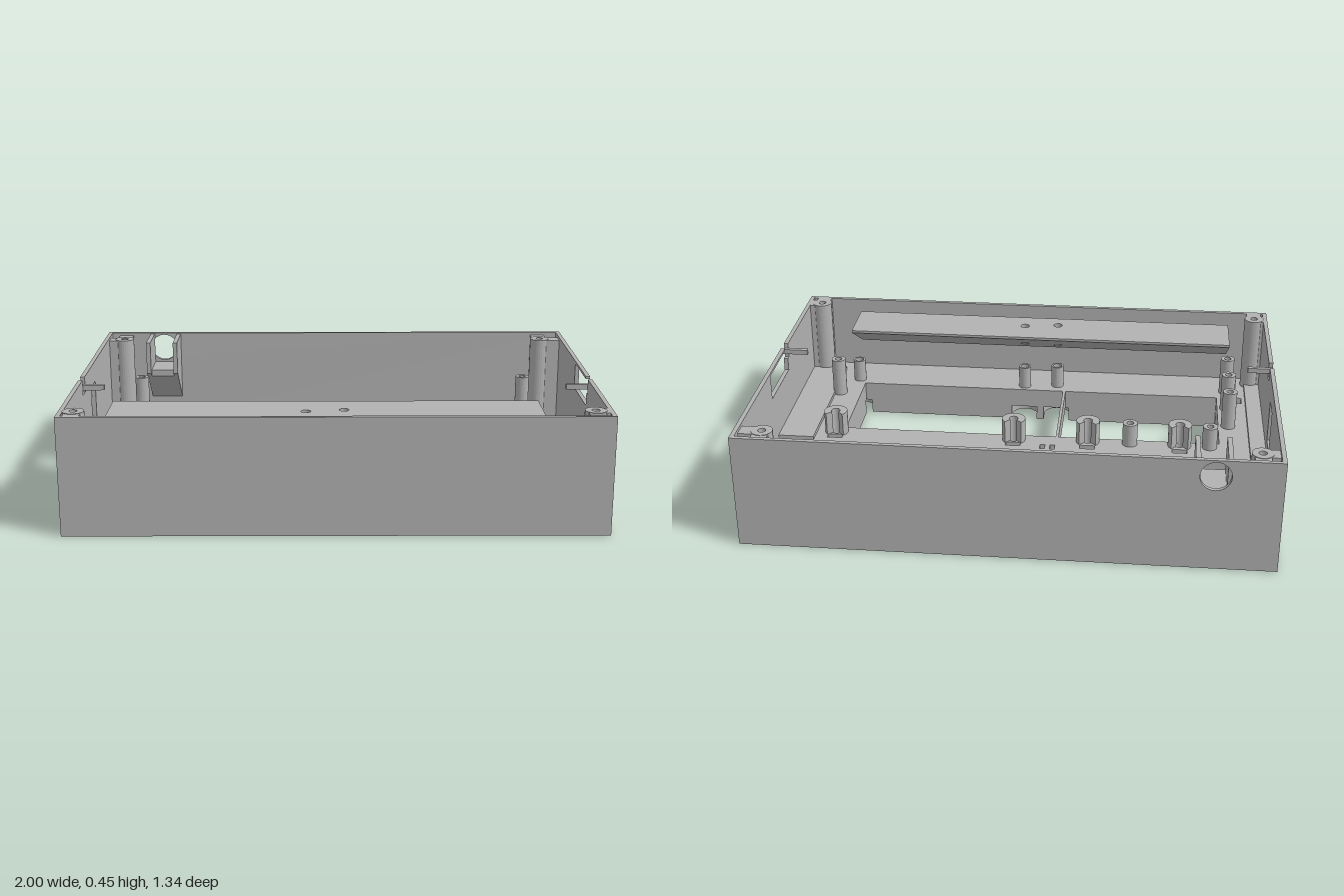
import * as THREE from 'three';

const W = 1, D = 0.67, H = 0.45, T = 0.017, FLOOR = 0.02, DECK = 0.14;

export function createModel() {
  const model = new THREE.Group();
  model.name = 'enclosure';
  const grey = new THREE.MeshStandardMaterial({ color: 0xb2b2b2 });
  grey.name = 'grey plastic';

  const add = (name, geometry) => {
    const mesh = new THREE.Mesh(geometry, grey);
    mesh.name = name;
    model.add(mesh);
    return mesh;
  };
  const box = (name, x0, x1, y0, y1, z0, z1) =>
    add(name, new THREE.BoxGeometry(x1 - x0, y1 - y0, z1 - z0)
      .translate((x0 + x1) / 2, (y0 + y1) / 2, (z0 + z1) / 2));
  const poly = (pts) => new THREE.Shape(pts.map(([a, b]) => new THREE.Vector2(a, b)));
  const rect = (a0, a1, b0, b1) => poly([[a0, b0], [a1, b0], [a1, b1], [a0, b1]]);
  const circle = (a, b, r) => new THREE.Shape().absarc(a, b, r, 0, Math.PI * 2, false);
  const extrude = (shape, depth) =>
    new THREE.ExtrudeGeometry(shape, { depth, bevelEnabled: false, curveSegments: 14 });
  // plan shape given in (x, z), filling y0 to y1
  const plan = (shape, y0, y1) => extrude(shape, y1 - y0).rotateX(Math.PI / 2).translate(0, y1, 0);
  // side shape given in (z, y), filling x0 to x1
  const side = (shape, x0, x1) => extrude(shape, x1 - x0).rotateY(-Math.PI / 2).translate(x1, 0, 0);
  // hollow round pillar
  const pillar = (name, x, z, r, y0, y1, bore = 0.014) => {
    const ring = circle(x, z, r);
    ring.holes.push(circle(x, z, bore));
    add(name, plan(ring, y0, y1));
  };

  // Outer walls
  box('frontWall', -W, W, 0, H, D - T, D);
  const back = rect(-W, W, 0, H);
  back.holes.push(circle(-0.755, 0.385, 0.057));
  add('backWall', extrude(back, T).translate(0, 0, -D));
  const zi = D - T, xi = W - T;
  const right = poly([[-zi, 0], [zi, 0], [zi, H], [0.16, H], [0.16, 0.39], [0.11, 0.39], [0.11, H], [-zi, H]]);
  right.holes.push(rect(-0.13, -0.03, 0.2, 0.37));
  add('rightWall', side(right, -W, -xi));
  const left = poly([[-zi, 0], [zi, 0], [zi, H], [0.16, H], [0.16, 0.39], [0.14, 0.39], [0.14, 0.34],
    [-0.13, 0.34], [-0.13, 0.44], [0.11, 0.44], [0.11, H], [-zi, H]]);
  add('leftWall', side(left, xi, W));
  for (const s of [-1, 1]) {
    const [a, b] = s < 0 ? [-W, -0.9] : [0.9, W];
    box('notchTab', a, b, 0.41, 0.43, 0.143, 0.16);
  }

  // Low floor at the back
  box('backFloor', -xi, xi, 0, FLOOR, -zi, -0.11);

  // Lower layer of the raised deck, its window widened by round pockets
  const R = 0.055, PI = Math.PI;
  const pocket = new THREE.Path();
  pocket.moveTo(-0.8, 0.03);
  for (const x of [-0.64, -0.27, 0.03]) {
    pocket.lineTo(x - R, 0.03);
    pocket.absarc(x, -0.01, R, PI, 2 * PI, false);
    pocket.lineTo(x + R, 0.03);
  }
  pocket.lineTo(0.76 - R, 0.03);
  pocket.absarc(0.76, 0, R, PI, 2.5 * PI, false);
  pocket.lineTo(0.73, 0.055);
  pocket.lineTo(0.73, 0.435);
  pocket.absarc(0.76, 0.49, R, -PI / 2, PI, false);
  pocket.lineTo(0.76 - R, 0.45);
  for (const [x, z] of [[0.03, 0.49], [-0.11, 0.51]]) {
    pocket.lineTo(x + R, 0.45);
    pocket.absarc(x, z, R, 0, PI, false);
    pocket.lineTo(x - R, 0.45);
  }
  pocket.lineTo(-0.8, 0.45);
  pocket.absarc(-0.85, 0.43, R, PI / 2, 1.5 * PI, false);
  pocket.lineTo(-0.8, 0.375);
  pocket.closePath();
  const lower = rect(-xi, xi, -0.11, zi);
  lower.holes.push(pocket);
  add('lowerDeck', plan(lower, 0, 0.06));

  // Upper layer with two windows, a dividing bar, screw holes and clip slots
  const clips = [[-0.64, 0.01], [-0.27, 0.01], [0.03, 0], [0.76, 0]].map(([x, z]) => [x, z - 0.005]);
  const frontScrews = [[-0.11, 0.51], [0.03, 0.49], [0.76, 0.49], [-0.85, 0.43]];
  const upper = rect(-xi, xi, -0.11, zi);
  upper.holes.push(rect(-0.8, -0.15, 0.03, 0.45), rect(-0.138, 0.73, 0.03, 0.45));
  upper.holes.push(rect(-0.905, -0.88, 0.405, 0.455), rect(0.76, 0.785, 0.52, 0.545));
  for (const x of [-0.13, -0.09]) upper.holes.push(rect(x - 0.01, x + 0.01, -0.075, -0.04));
  for (const [x, z] of clips) upper.holes.push(circle(x, z, 0.018), rect(x - 0.03, x + 0.03, -0.06, -0.032));
  for (const [x, z] of frontScrews) upper.holes.push(circle(x, z, 0.018));
  add('upperDeck', plan(upper, 0.06, DECK));
  box('sideStrip', -xi, -0.92, DECK, 0.155, -0.09, 0.58);
  box('sideStrip', 0.84, xi, DECK, 0.155, -0.09, 0.58);

  // Slotted clip bosses: a ring open toward the back
  for (const [x, z] of clips) {
    const boss = new THREE.Shape();
    boss.absarc(x, z, 0.047, -0.25 * PI, 1.25 * PI, false);
    boss.absarc(x, z, 0.018, 1.25 * PI, -0.25 * PI, true);
    boss.closePath();
    add('clipBoss', plan(boss, DECK, 0.235));
  }
  for (const [x, z] of frontScrews) pillar('screwBoss', x, z, 0.026, DECK, 0.235, 0.018);

  // Standoffs
  for (const [x, z] of [[-0.84, -0.5], [0.82, -0.5]]) pillar('tallStandoff', x, z, 0.029, FLOOR, 0.29);
  for (const [x, z] of [[-0.84, 0.19], [-0.84, 0.35], [0.82, 0.35], [-0.84, 0.51]])
    pillar('deckStandoff', x, z, 0.029, DECK, 0.3);
  for (const x of [-0.76, -0.44]) pillar('shortStandoff', x, 0, 0.03, DECK, 0.235);

  // Corner posts with webs to the walls
  for (const [x, z, y0, y1] of [[-0.92, -0.58, FLOOR, 0.44], [0.9, -0.58, FLOOR, 0.44],
    [-0.945, 0.595, DECK, 0.453], [0.935, 0.595, DECK, 0.453]]) {
    const sx = Math.sign(x), sz = Math.sign(z);
    pillar('cornerPost', x, z, 0.04, y0, y1, 0.015);
    const a = x + sx * 0.02, b = sx * xi, c = z + sz * 0.02, d = sz * zi;
    box('postWeb', Math.min(a, b), Math.max(a, b), y0, y1 - 0.002, z - 0.03, z + 0.03);
    box('postWeb', x - 0.03, x + 0.03, y0, y1 - 0.002, Math.min(c, d), Math.max(c, d));
  }

  // Wedge shelf along the front: flat top, underside falling toward the front
  const shelfShape = rect(-0.835, 0.76, 0.37, 0.58);
  shelfShape.holes.push(circle(-0.11, 0.51, 0.018), circle(0.03, 0.49, 0.018));
  const shelf = plan(shelfShape, 0.3, 0.425);
  const p = shelf.attributes.position;
  for (let i = 0; i < p.count; i++) {
    if (p.getY(i) < 0.35) p.setY(i, 0.415 - (p.getZ(i) - 0.37) * 0.6);
  }
  shelf.computeVertexNormals();
  add('frontShelf', shelf);

  // Socket holder behind the round hole
  const cheek = poly([[-zi, 0.16], [-0.48, 0.31], [-0.48, H - 0.005], [-zi, H - 0.005]]);
  add('socketCheek', side(cheek, -0.815, -0.797));
  add('socketCheek', side(cheek, -0.7, -0.682));
  add('socketBase', side(poly([[-zi, 0.16], [-0.5, 0.293], [-0.5, 0.32], [-zi, 0.32]]), -0.797, -0.7));

  return model;
}
